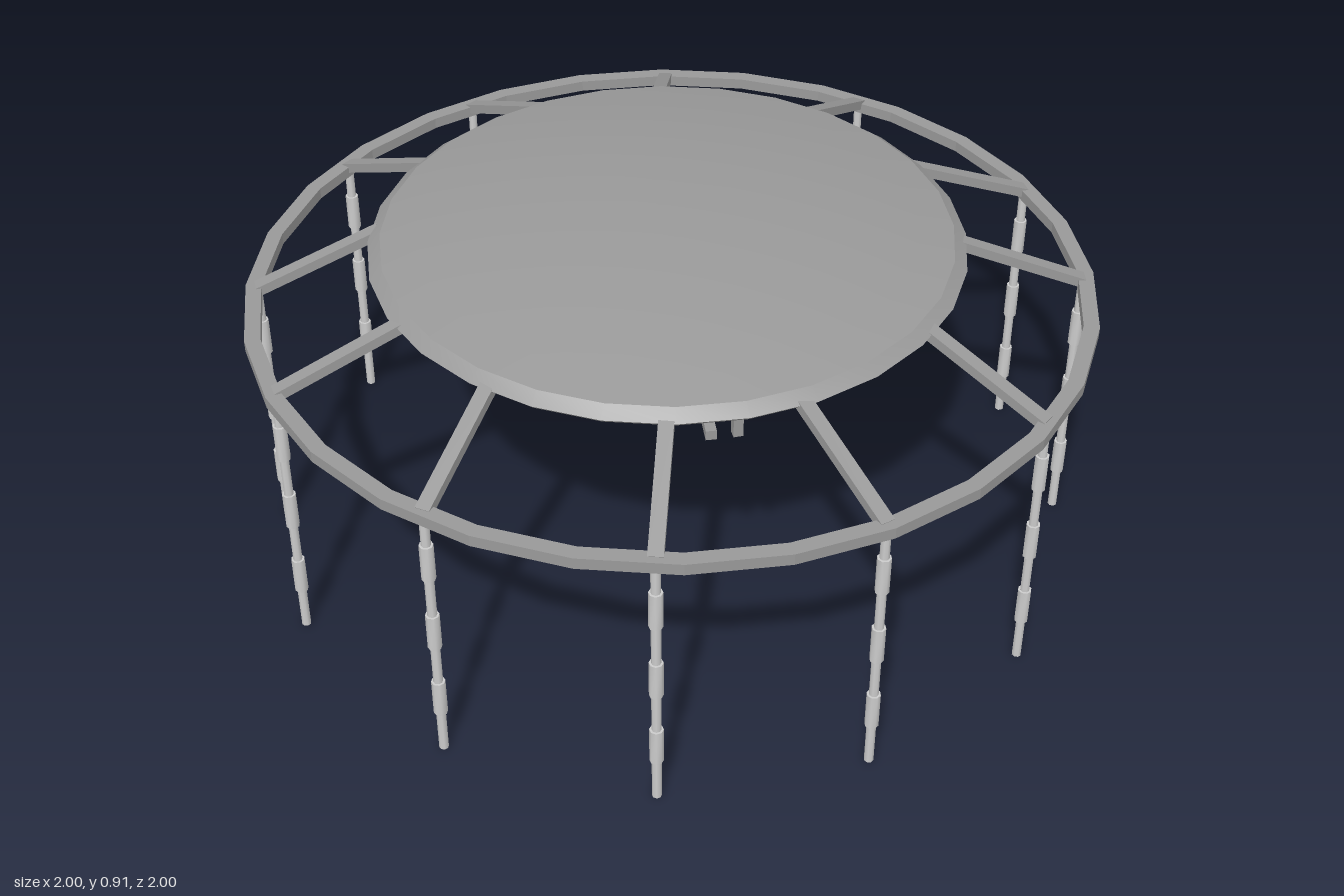
import * as THREE from 'three';
import { toCreasedNormals } from 'three/addons/utils/BufferGeometryUtils.js';

const DEG = Math.PI / 180;
const SIDES = 28;
// hand-set bearings of the posts and of the rafter feet on the canopy (degrees from +x towards +z)
const POST_ANGLES = [7.4, 41.3, 71, 99.8, 129.6, 161.7, 186.4, 220.2, 245, 277, 308.8, 343.4];
const RIM_ANGLES = [9, 40, 73, 98, 132, 158, 191, 217, 250, 276, 310, 340];

const polar = (r, deg, y = 0) => new THREE.Vector3(r * Math.cos(deg * DEG), y, r * Math.sin(deg * DEG));

export function createModel() {
  const group = new THREE.Group();
  const roofMat = new THREE.MeshStandardMaterial({ color: 0x999999 });
  const frameMat = new THREE.MeshStandardMaterial({ color: 0x999999, flatShading: true });
  const postMat = new THREE.MeshStandardMaterial({ color: 0xcccccc });

  const add = (name, geometry, material, parent = group) => {
    const mesh = new THREE.Mesh(geometry, material);
    mesh.name = name;
    parent.add(mesh);
    return mesh;
  };

  // square bar running from a to b
  const bar = (name, a, b, w, h, parent) => {
    const mesh = add(name, new THREE.BoxGeometry(w, h, a.distanceTo(b)), frameMat, parent);
    mesh.position.copy(a).add(b).multiplyScalar(0.5);
    mesh.lookAt(b);
  };

  // domed canopy with a short sloping rim and a recessed underside
  const profile = [[0, 0.815], [0.64, 0.815], [0.64, 0.803], [0.69, 0.803], [0.702, 0.815], [0.672, 0.838]];
  for (let i = 1; i <= 8; i++) {
    const t = 1 - i / 8;
    profile.push([0.672 * t, 0.912 - 0.074 * t * t]);
  }
  const points = profile.map(([x, y]) => new THREE.Vector2(x, y));
  const dome = new THREE.LatheGeometry(points, SIDES, Math.PI / SIDES);
  const canopy = add('canopy', toCreasedNormals(dome, 20 * DEG), roofMat);
  canopy.position.set(-0.007, 0, -0.013);

  // faceted outer ring
  const outline = (r) => Array.from({ length: SIDES }, (_, i) => {
    const a = ((i + 0.5) * 2 * Math.PI) / SIDES;
    return new THREE.Vector2(r * Math.cos(a), r * Math.sin(a));
  });
  const ringShape = new THREE.Shape(outline(1.005));
  ringShape.holes.push(new THREE.Path(outline(0.968)));
  const ringGeo = new THREE.ExtrudeGeometry(ringShape, { depth: 0.028, bevelEnabled: false });
  ringGeo.rotateX(Math.PI / 2);
  add('outerRing', ringGeo, frameMat).position.y = 0.707;

  // posts with three sleeves each, and a rafter from each post to the canopy
  POST_ANGLES.forEach((angle, i) => {
    const post = new THREE.Group();
    post.name = 'post';
    post.position.copy(polar(0.978, angle));
    post.rotation.y = -angle * DEG;
    group.add(post);
    add('postShaft', new THREE.CylinderGeometry(0.011, 0.011, 0.69, 8), postMat, post).position.y = 0.345;
    for (const y of [0.16, 0.36, 0.56]) {
      const sleeve = toCreasedNormals(new THREE.CylinderGeometry(0.016, 0.016, 0.095, 8), 50 * DEG);
      add('postSleeve', sleeve, postMat, post).position.y = y;
    }
    const foot = polar(0.68, RIM_ANGLES[i], 0.812).add(canopy.position);
    bar('rafter', polar(0.978, angle, 0.697), foot, 0.034, 0.024, group);
  });

  // crossed beams under the canopy, with a hub and a short hanger at each end
  const cross = new THREE.Group();
  cross.name = 'crossBrace';
  cross.rotation.y = 5.5 * DEG;
  group.add(cross);
  for (const a of [0, 90]) bar('crossBeam', polar(0.62, a, 0.725), polar(0.62, a + 180, 0.725), 0.024, 0.024, cross);
  for (const a of [0, 90, 180, 270]) {
    const hanger = add('hanger', new THREE.BoxGeometry(0.022, 0.105, 0.022), frameMat, cross);
    hanger.position.copy(polar(0.61, a, 0.766));
  }
  add('hub', new THREE.CylinderGeometry(0.026, 0.026, 0.028, 12), frameMat, cross).position.y = 0.725;
  return group;
}
